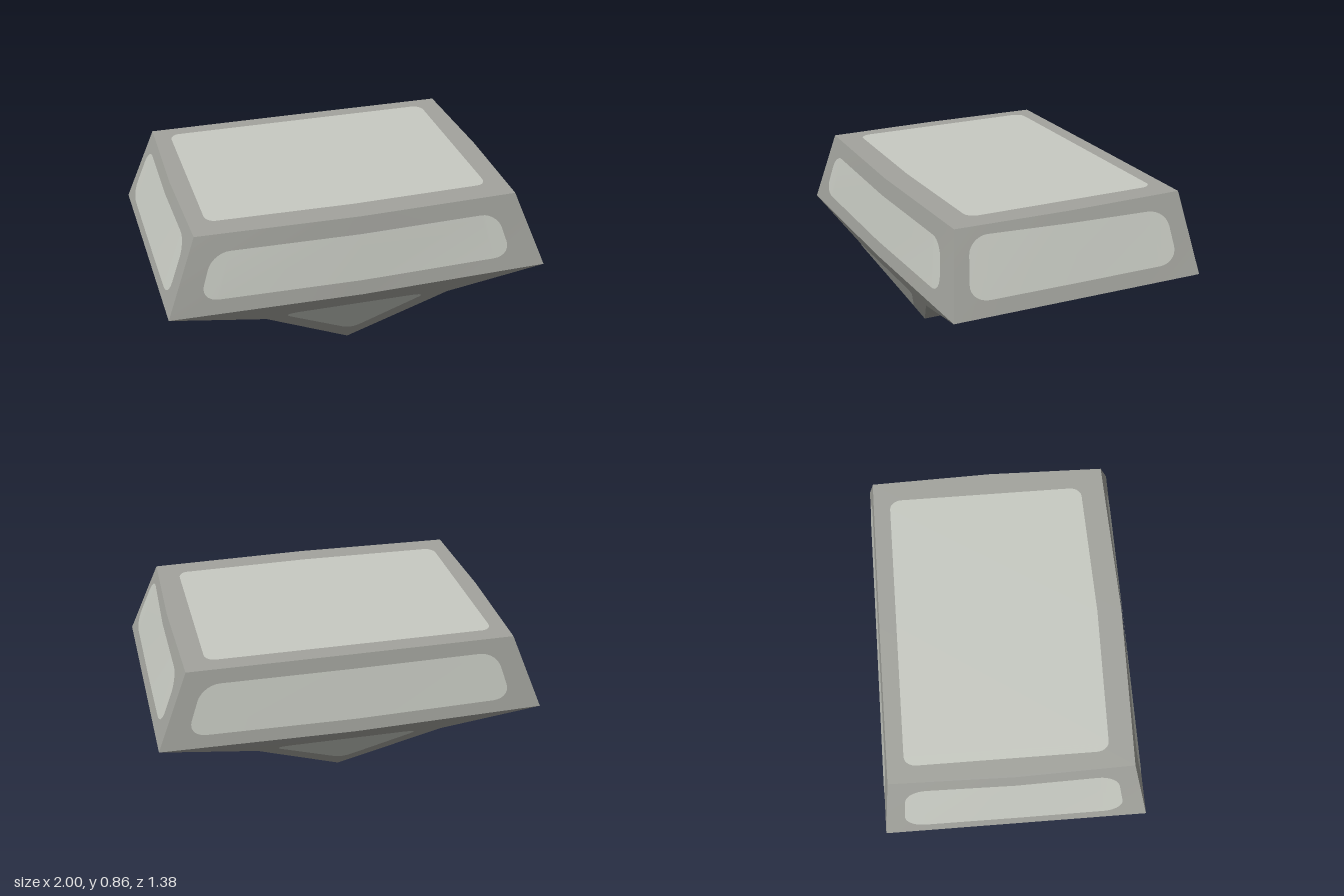
import * as THREE from 'three';

const stone = new THREE.MeshStandardMaterial({ color: 0xa3a49e });
stone.name = 'grey stone';
const pale = new THREE.MeshStandardMaterial({ color: 0xc8cbc3 });
pale.name = 'pale worn stone';

const V = (x, y, z) => new THREE.Vector3(x, y, z);

// Surface through columns of [lower, upper] points, listed left to right as seen from outside
function strip(columns) {
  const index = [];
  for (let i = 0; i < columns.length - 1; i++) {
    const a = 2 * i;
    index.push(a, a + 2, a + 3, a, a + 3, a + 1);
  }
  const g = new THREE.BufferGeometry().setFromPoints(columns.flat());
  g.setIndex(index);
  g.computeVertexNormals();
  return g;
}

function add(group, name, geometry, material) {
  const m = new THREE.Mesh(geometry, material);
  m.name = name;
  group.add(m);
}

// Rounded worn area lying just above a wall of three columns
function wornPatch(cols, { u0, u1, v0, v1, v1Right = v1, r = 0.05, k = 0.2 }) {
  const [[a, d], , [b]] = cols;
  const lift = b.clone().sub(a).cross(d.clone().sub(a)).normalize().multiplyScalar(0.005);
  const at = (u, v) => {
    const i = u < 0.5 ? 0 : 1, t = u * 2 - i;
    const lo = cols[i][0].clone().lerp(cols[i + 1][0], t);
    const hi = cols[i][1].clone().lerp(cols[i + 1][1], t);
    return lo.lerp(hi, v).add(lift);
  };
  const us = [], insets = [];
  const steps = 7;
  for (let i = 0; i <= steps; i++) {
    const q = (i / steps) * Math.PI / 2;
    us.push(u0 + r * (1 - Math.cos(q)));
    insets.push(k * (1 - Math.sin(q)));
  }
  const right = us.map(u => u1 - (u - u0)).reverse();
  const allU = [...us, 0.5, ...right];
  const allInsets = [...insets, 0, ...insets.slice().reverse()];
  return strip(allU.map((u, i) => {
    const top = v1 + (v1Right - v1) * (u - u0) / (u1 - u0);
    return [at(u, v0 + allInsets[i]), at(u, top - allInsets[i])];
  }));
}

// Rounded triangular worn area on the sloping end of the keel
function wornTriangle(z0, slope, turn) {
  const pts = [[-0.42, 0.355], [0, 0.09], [0.37, 0.35]].map(p => new THREE.Vector2(p[0], p[1]));
  const s = new THREE.Shape();
  pts.forEach((p, i) => {
    const prev = pts[(i + 2) % 3], next = pts[(i + 1) % 3];
    const start = p.clone().lerp(prev, 0.13), end = p.clone().lerp(next, 0.13);
    if (i) s.lineTo(start.x, start.y);
    else s.moveTo(start.x, start.y);
    s.quadraticCurveTo(p.x, p.y, end.x, end.y);
  });
  s.closePath();
  const g = new THREE.ShapeGeometry(s, 8);
  const pos = g.attributes.position;
  for (let i = 0; i < pos.count; i++) pos.setZ(i, z0 + slope * pos.getY(i) + 0.006);
  g.computeVertexNormals();
  if (turn) g.rotateY(Math.PI);
  return g;
}

export function createModel() {
  const group = new THREE.Group();
  group.name = 'rock';

  // Key corners: widest rim, top edge, underside knee and bottom ridge
  const rim = (sx, sz) => V(sx, 0.447, 0.688 * sz);
  const rimMid = sz => V(0, 0.43, 0.688 * sz);
  const top = (sx, sz) => V(0.84 * sx, 0.855, sz > 0 ? 0.61 : -0.64);
  const topMid = sz => V(0, 0.855, sz > 0 ? 0.632 : -0.642);
  const sideMid = sx => V(0.854 * sx, 0.855, 0);
  const knee = (sx, sz) => V(0.49 * sx, 0.32, sz > 0 ? 0.615 : -0.59);
  const ridge = sz => V(0, 0, sz > 0 ? 0.42 : -0.32);

  // Upper walls and their worn patches
  const endWall = s => [[rim(-s, s), top(-s, s)], [rimMid(s), topMid(s)], [rim(s, s), top(s, s)]];
  const sideWall = s => [[rim(s, s), top(s, s)], [V(s, 0.447, 0), sideMid(s)], [rim(s, -s), top(s, -s)]];
  const walls = [
    ['front', endWall(1), { u0: 0.067, u1: 0.92, v0: 0.19, v1: 0.78 }],
    ['back', endWall(-1), { u0: 0.06, u1: 0.93, v0: 0.17, v1: 0.82 }],
    ['left', sideWall(1), { u0: 0.06, u1: 0.92, v0: 0.18, v1: 0.9, v1Right: 0.82, r: 0.08 }],
    ['right', sideWall(-1), { u0: 0.07, u1: 0.92, v0: 0.14, v1: 0.84, r: 0.08 }],
  ];
  for (const [name, cols, patch] of walls) {
    add(group, name + 'Wall', strip(cols), stone);
    add(group, name + 'WornPatch', wornPatch(cols, patch), pale);
  }

  // Flat top
  const topCols = [[top(-1, 1), top(-1, -1)], [topMid(1), topMid(-1)], [top(1, 1), top(1, -1)]];
  const tips = s => [sideMid(s), sideMid(s)];
  add(group, 'topFace', strip([tips(-1), ...topCols, tips(1)]), stone);
  add(group, 'topWornPatch', wornPatch(topCols,
    { u0: 0.05, u1: 0.935, v0: 0.1, v1: 0.93, r: 0.03, k: 0.05 }), pale);

  // Underside slopes meeting at the ridge
  const slope = s => [ridge, z => knee(s, z), z => rim(s, z)].map(f => [f(-1), f(1)]);
  add(group, 'leftUnderside', strip(slope(1)), stone);
  add(group, 'rightUnderside', strip(slope(-1).reverse()), stone);

  // Sloping keel ends
  for (const s of [1, -1]) {
    const m = rimMid(s), name = s > 0 ? 'front' : 'back';
    add(group, name + 'KeelEnd', strip([
      [rim(-s, s), rim(-s, s)], [knee(-s, s), m], [ridge(s), m], [knee(s, s), m], [rim(s, s), rim(s, s)],
    ]), stone);
    const z0 = s > 0 ? 0.42 : 0.32;
    add(group, name + 'KeelWornPatch', wornTriangle(z0, (0.688 - z0) / 0.43, s < 0), pale);
  }
  return group;
}
